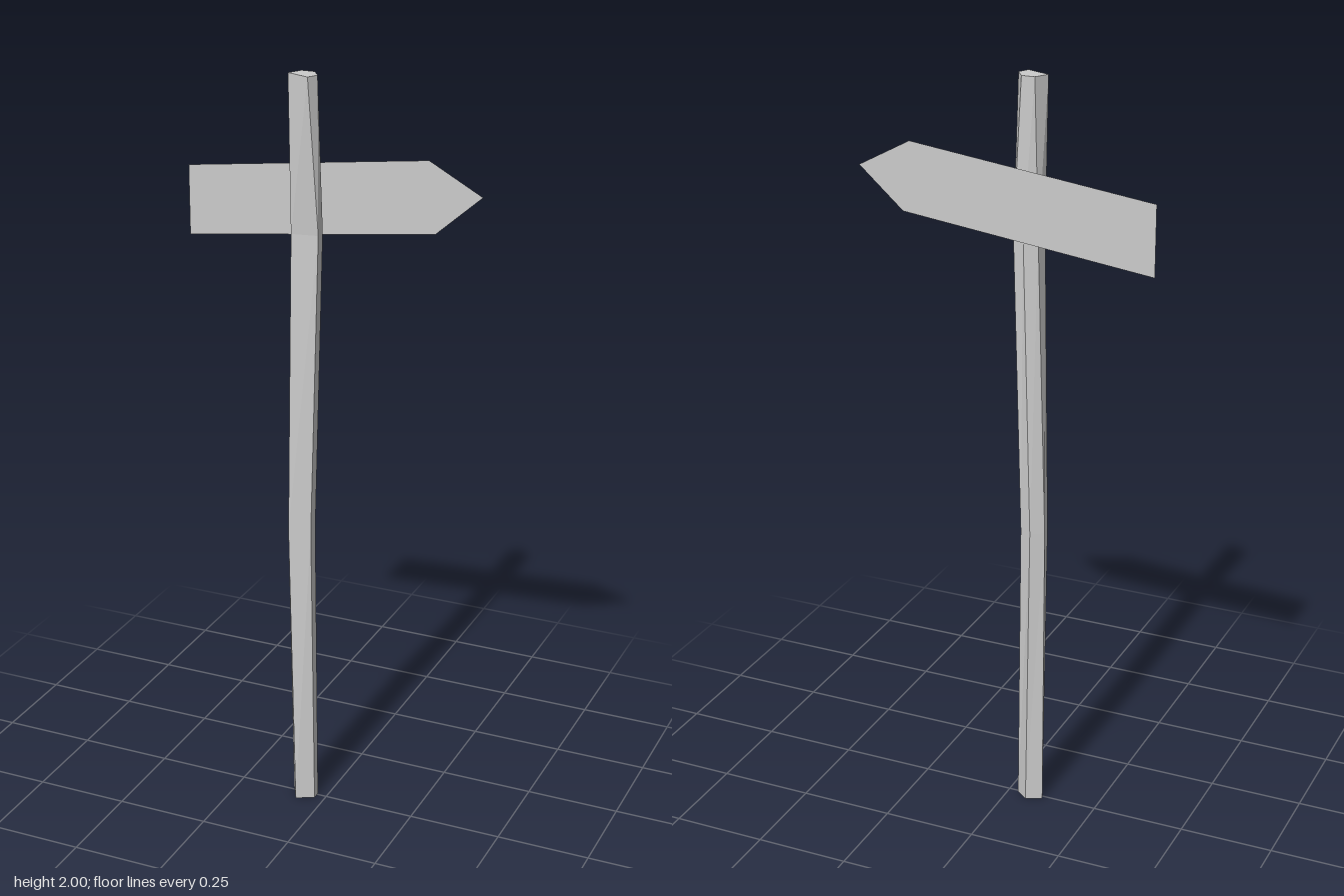
import * as THREE from 'three';

const SIGN_Z = -0.041;

// Closed, faceted solid lofted through five-sided rings of [x, z] corners.
function loft(rings) {
  const pos = [];
  const point = (r, i) => {
    const [x, z] = rings[r].corners[i % rings[r].corners.length];
    return [x, rings[r].y, z];
  };
  const tri = (a, b, c) => pos.push(...a, ...b, ...c);
  const n = rings[0].corners.length;
  const last = rings.length - 1;
  for (let r = 0; r < last; r++) {
    for (let i = 0; i < n; i++) {
      tri(point(r, i), point(r, i + 1), point(r + 1, i + 1));
      tri(point(r, i), point(r + 1, i + 1), point(r + 1, i));
    }
  }
  for (let i = 1; i < n - 1; i++) {
    tri(point(last, 0), point(last, i), point(last, i + 1));
    tri(point(0, 0), point(0, i + 1), point(0, i));
  }
  const geo = new THREE.BufferGeometry();
  geo.setAttribute('position', new THREE.Float32BufferAttribute(pos, 3));
  geo.computeVertexNormals();
  return geo;
}

export function createModel() {
  const group = new THREE.Group();
  group.name = 'signpost';

  // Crooked wooden post: front left, front right, right, back, left corners
  const post = new THREE.Mesh(
    loft([
      { y: 0, corners: [[-0.073, 0.041], [-0.027, 0.018], [-0.027, -0.005], [-0.06, -0.03], [-0.102, -0.012]] },
      { y: 0.8, corners: [[-0.094, 0.031], [-0.037, 0.016], [-0.038, -0.015], [-0.07, -0.03], [-0.104, -0.012]] },
      { y: 1.6, corners: [[-0.089, 0.015], [-0.02, 0.004], [-0.023, -0.03], [-0.05, -0.032], [-0.085, -0.02]] },
      { y: 2, corners: [[-0.1, 0.003], [-0.037, 0.028], [-0.023, 0], [-0.045, -0.033], [-0.08, -0.033]] },
    ]),
    new THREE.MeshStandardMaterial({ color: 0xcccccc, flatShading: true })
  );
  post.name = 'post';
  group.add(post);

  // Thin arrow board fixed to the back of the post
  const outline = [[-0.398, 1.545], [0.272, 1.628], [0.392, 1.734], [0.252, 1.81], [-0.398, 1.728]];
  const board = new THREE.Mesh(
    new THREE.ShapeGeometry(new THREE.Shape(outline.map(([x, y]) => new THREE.Vector2(x, y)))),
    new THREE.MeshStandardMaterial({ color: 0xcccccc, side: THREE.DoubleSide })
  );
  board.name = 'arrowBoard';
  board.position.z = SIGN_Z;
  group.add(board);

  return group;
}
